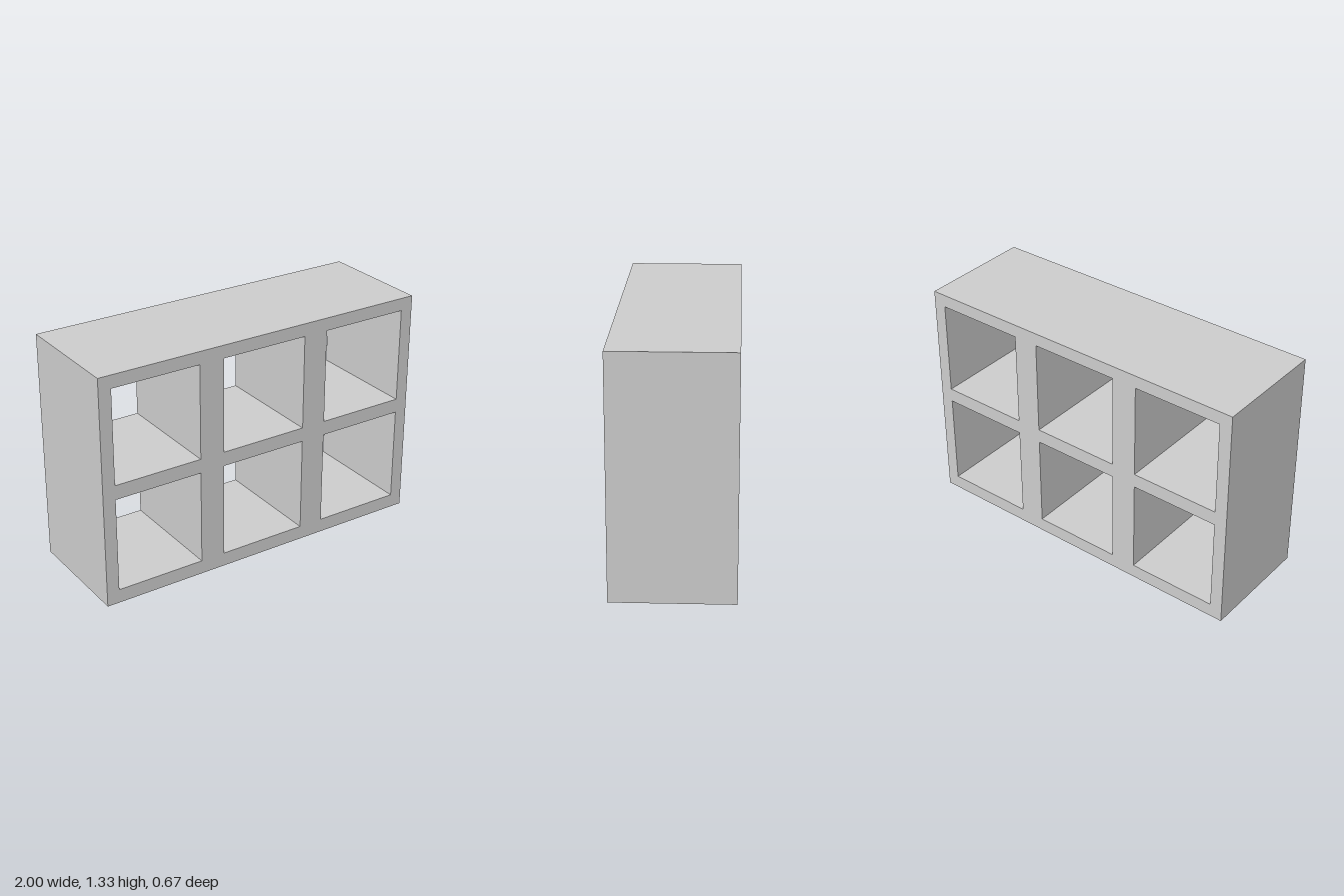
import * as THREE from 'three';

const WIDTH = 2, HEIGHT = 1.333, DEPTH = 0.667;
const HOLE_W = 0.52, HOLE_H = 0.548;

// Traces a rectangle onto a shape or path
function rect(path, x0, y0, w, h) {
  path.moveTo(x0, y0);
  path.lineTo(x0 + w, y0);
  path.lineTo(x0 + w, y0 + h);
  path.lineTo(x0, y0 + h);
  path.closePath();
  return path;
}

export function createModel() {
  const group = new THREE.Group();
  group.name = 'openBlock';

  // Solid outline with a 3 x 2 grid of openings running front to back
  const outline = rect(new THREE.Shape(), -WIDTH / 2, 0, WIDTH, HEIGHT);
  for (const cx of [-0.667, 0, 0.667]) {
    for (const y0 of [0.08, 0.711]) {
      outline.holes.push(rect(new THREE.Path(), cx - HOLE_W / 2, y0, HOLE_W, HOLE_H));
    }
  }

  const geometry = new THREE.ExtrudeGeometry(outline, { depth: DEPTH, bevelEnabled: false });
  geometry.translate(0, 0, -DEPTH / 2);

  const frame = new THREE.Mesh(
    geometry,
    new THREE.MeshStandardMaterial({ color: 0xcccccc, flatShading: true })
  );
  frame.name = 'cubbyFrame';
  group.add(frame);
  return group;
}
